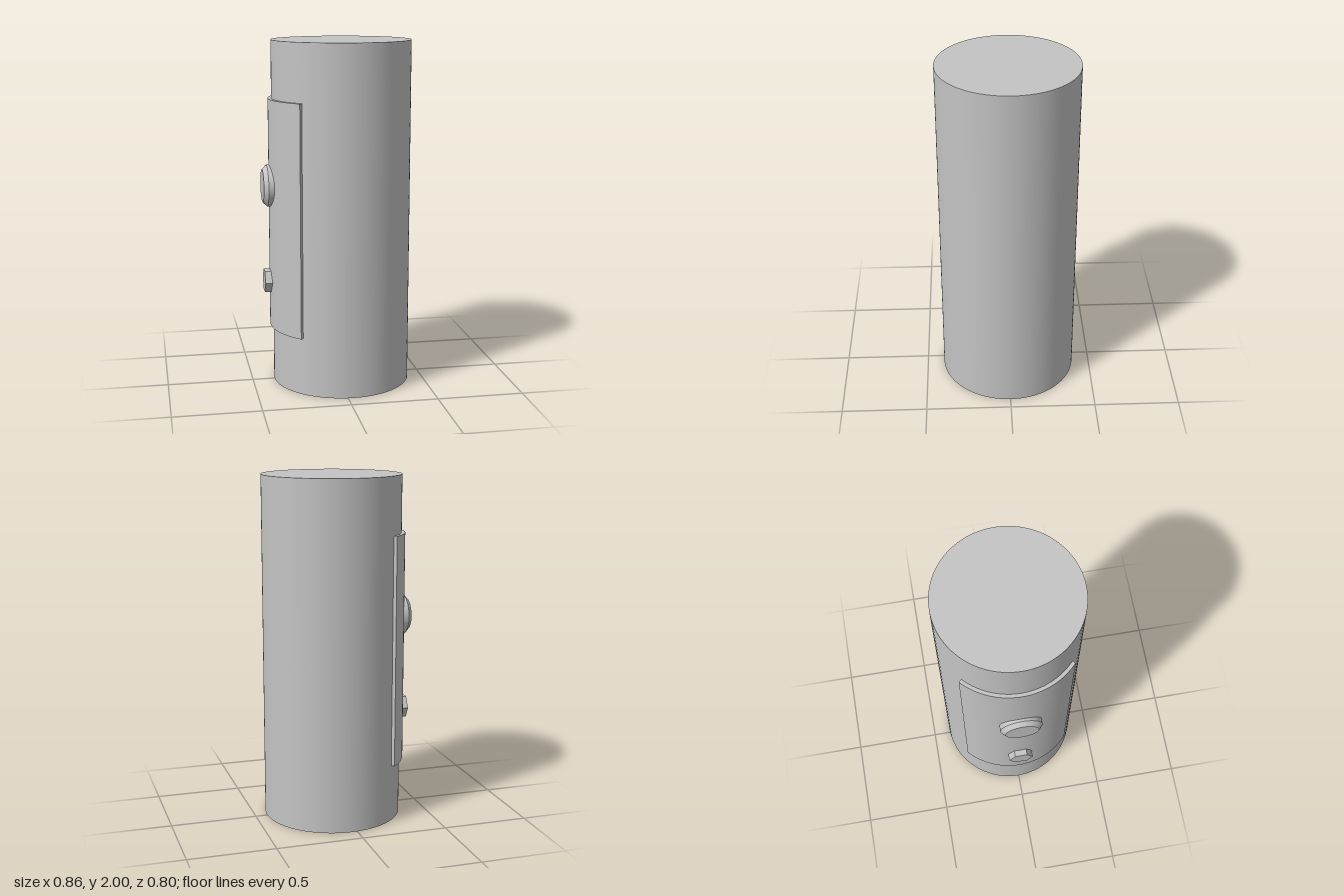
import * as THREE from 'three';
import { toCreasedNormals } from 'three/addons/utils/BufferGeometryUtils.js';

const AXIS_X = 0.03; // the drum sits slightly off centre because of the knob
const R = 0.4;

export function createModel() {
  const model = new THREE.Group();
  const grey = new THREE.MeshStandardMaterial({ color: 0xc4c4c4 });
  grey.name = 'light grey';

  const add = (name, geometry, x, y) => {
    const mesh = new THREE.Mesh(geometry, grey);
    mesh.name = name;
    mesh.position.set(x, y, 0);
    model.add(mesh);
    return mesh;
  };

  // Main cylinder
  add('body', new THREE.CylinderGeometry(R, R, 2, 96), AXIS_X, 1);

  // Curved plate wrapped round the -x side, with radial ends
  const half = 0.827;
  const section = new THREE.Shape();
  section.absarc(0, 0, R + 0.02, Math.PI - half, Math.PI + half, false);
  section.absarc(0, 0, R - 0.005, Math.PI + half, Math.PI - half, true);
  const plate = new THREE.ExtrudeGeometry(section, {
    depth: 1.335, bevelEnabled: false, curveSegments: 32,
  });
  plate.rotateX(-Math.PI / 2);
  add('curvedPlate', toCreasedNormals(plate, 0.5), AXIS_X, 0.335);

  // Round knob with a chamfered rim, pointing to -x
  const profile = [[0, 0], [0.12, 0], [0.12, 0.055], [0.095, 0.08], [0, 0.08]]
    .map(([r, h]) => new THREE.Vector2(r, h));
  const knob = toCreasedNormals(new THREE.LatheGeometry(profile, 64), 0.5);
  add('knob', knob, -0.35, 1.17).rotation.z = Math.PI / 2;

  // Hexagonal bolt head below the knob
  const bolt = toCreasedNormals(new THREE.CylinderGeometry(0.072, 0.072, 0.065, 6), 0.5);
  add('hexBolt', bolt, -0.3925, 0.607).rotation.z = Math.PI / 2;

  return model;
}
